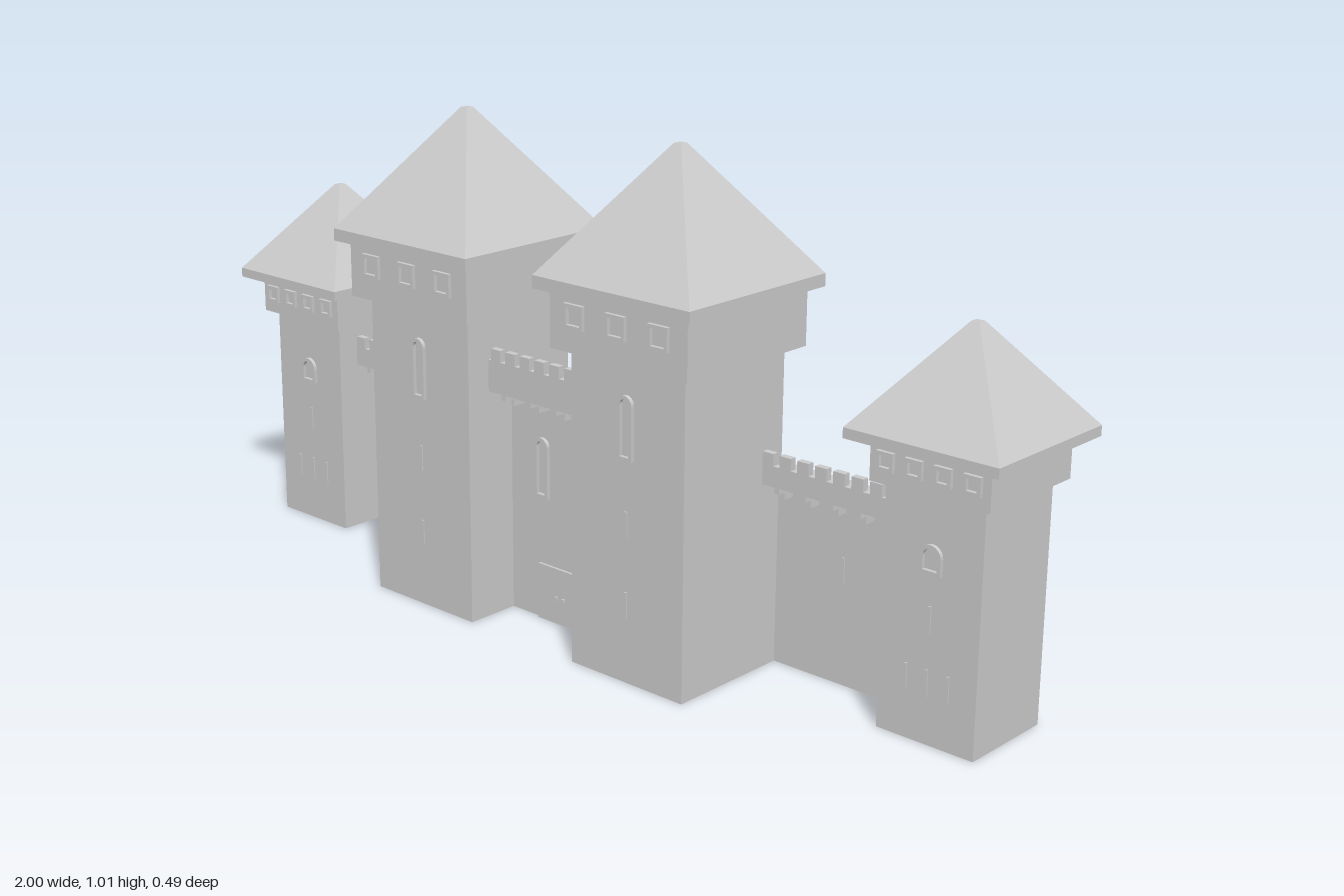
import * as THREE from 'three';

const mat = new THREE.MeshStandardMaterial({ color: 0xcccccc, flatShading: true, side: THREE.DoubleSide });

function add(parent, name, geometry, x = 0, y = 0, z = 0) {
  const mesh = new THREE.Mesh(geometry, mat);
  mesh.name = name;
  mesh.position.set(x, y, z);
  parent.add(mesh);
  return mesh;
}

const box = (parent, name, w, h, d, x, y, z) => add(parent, name, new THREE.BoxGeometry(w, h, d), x, y, z);

// Three-sided tower wall, open at the back, lofted through [halfWidth, y] levels
function towerShell(levels) {
  const pos = [], idx = [];
  for (const [h, y] of levels) pos.push(-h, y, -h, -h, y, h, h, y, h, h, y, -h);
  for (let l = 0; l < levels.length - 1; l++) {
    for (let i = 0; i < 3; i++) {
      const a = l * 4 + i, b = a + 1, c = b + 4, d = a + 4;
      idx.push(a, b, c, a, c, d);
    }
  }
  const g = new THREE.BufferGeometry();
  g.setAttribute('position', new THREE.Float32BufferAttribute(pos, 3));
  g.setIndex(idx);
  const flat = g.toNonIndexed();
  flat.computeVertexNormals();
  return flat;
}

// Hollow square roof: eave underside, eave edge, slope and small flat tip
function roofGeometry(headHalf, half, y0, y1, top) {
  const r = Math.SQRT2;
  const profile = [[headHalf * r, y0], [half * r, y0], [half * r, y1], [0.012, top], [0, top]];
  const g = new THREE.LatheGeometry(profile.map(p => new THREE.Vector2(...p)), 4);
  return g.rotateY(Math.PI / 4);
}

// Outline of an opening, with a round arch if wanted
function outline(target, w, h, arched) {
  target.moveTo(-w / 2, 0);
  target.lineTo(w / 2, 0);
  if (arched) {
    target.lineTo(w / 2, h - w / 2);
    target.absarc(0, h - w / 2, w / 2, 0, Math.PI, false);
  } else {
    target.lineTo(w / 2, h);
    target.lineTo(-w / 2, h);
  }
  target.closePath();
  return target;
}

// Raised window frame standing on y
function windowFrame(parent, w, h, x, y, z, arched) {
  const shape = outline(new THREE.Shape(), w, h, arched);
  const t = 0.007;
  const inner = outline(new THREE.Path(), w - 2 * t, h - 2 * t, arched);
  const hole = new THREE.Path(inner.getPoints(6).map(p => new THREE.Vector2(p.x, p.y + t)));
  shape.holes.push(hole);
  const g = new THREE.ExtrudeGeometry(shape, { depth: 0.009, bevelEnabled: false, curveSegments: 6 });
  add(parent, 'windowFrame', g, x, y, z);
}

const slit = (parent, x, y, z) => box(parent, 'arrowSlit', 0.006, 0.052, 0.006, x, y, z);

function tower(name, s) {
  const g = new THREE.Group();
  g.name = name;
  add(g, 'walls', towerShell([[s.half, 0], [s.half, s.neck], [s.head, s.neck], [s.head, s.eave]]));
  add(g, 'roof', roofGeometry(s.head, s.roof, s.eave, s.eave + s.rim, s.top));
  // row of square windows under the eaves
  for (let i = 0; i < s.windows; i++) {
    const x = (i - (s.windows - 1) / 2) * s.pitch;
    windowFrame(g, s.pane, s.pane, x, s.paneY, s.head - 0.001, false);
  }
  windowFrame(g, s.archW, s.archH, 0, s.archY, s.half - 0.001, true);
  for (const [x, y] of s.slits) slit(g, x, y, s.half);
  return g;
}

// Wall with walkway, corbels and a notched parapet
function rampart(name, s) {
  const g = new THREE.Group();
  g.name = name;
  const mid = (s.x0 + s.x1) / 2, len = s.x1 - s.x0;
  box(g, 'wall', len, s.deck, s.front - s.back, mid, s.deck / 2, (s.front + s.back) / 2);
  const a = s.x0 - s.ends[0], b = s.x1 + s.ends[1];
  box(g, 'walkway', b - a, 0.016, s.outer - s.inner, (a + b) / 2, s.deck + 0.008, (s.outer + s.inner) / 2);

  // parapet outline with notches cut between merlons
  const n = Math.round((b - a) / 0.042), p = (b - a) / n;
  const low = s.top - 0.024;
  const shape = new THREE.Shape();
  shape.moveTo(a, s.deck);
  for (let i = 0; i < n; i++) {
    const x = a + i * p;
    shape.lineTo(x, low);
    shape.lineTo(x + p * 0.18, low);
    shape.lineTo(x + p * 0.18, s.top);
    shape.lineTo(x + p * 0.82, s.top);
    shape.lineTo(x + p * 0.82, low);
  }
  shape.lineTo(b, low);
  shape.lineTo(b, s.deck);
  const wall = new THREE.ExtrudeGeometry(shape, { depth: 0.014, bevelEnabled: false });
  add(g, 'parapet', wall, 0, 0, s.outer - 0.014);

  // stepped corbels carrying the overhang
  const reach = s.outer - s.front;
  for (let i = 0; i < s.corbels; i++) {
    const x = s.x0 + len * (i + 0.5) / s.corbels;
    box(g, 'corbel', 0.01, 0.014, reach * 0.9, x, s.deck - 0.007, s.front + reach * 0.45);
    box(g, 'corbelFoot', 0.006, 0.016, reach * 0.5, x, s.deck - 0.022, s.front + reach * 0.25);
  }
  return g;
}

export function createModel() {
  const model = new THREE.Group();
  model.name = 'castle';

  const gateTower = {
    half: 0.14, neck: 0.632, head: 0.168, eave: 0.746, roof: 0.191, rim: 0.025, top: 1.015,
    windows: 3, pitch: 0.103, pane: 0.047, paneY: 0.68,
    archW: 0.036, archH: 0.125, archY: 0.445, slits: [[0, 0.318], [0, 0.158]],
  };
  const endTower = {
    half: 0.104, neck: 0.472, head: 0.125, eave: 0.55, roof: 0.16, rim: 0.02, top: 0.76,
    windows: 4, pitch: 0.06, pane: 0.036, paneY: 0.498,
    archW: 0.045, archH: 0.055, archY: 0.325,
    slits: [[0, 0.238], [-0.045, 0.118], [0, 0.118], [0.045, 0.118]],
  };

  for (const side of [-1, 1]) {
    const word = side > 0 ? 'left' : 'right';
    const inner = tower(word + 'GateTower', gateTower);
    inner.position.set(side * 0.28, 0, 0.053);
    const outer = tower(word + 'EndTower', endTower);
    outer.position.set(side * 0.84, 0, -0.085);

    // curtain wall between the two towers
    const x = [side * 0.42, side * 0.735].sort((p, q) => p - q);
    const curtain = rampart(word + 'CurtainWall', {
      x0: x[0], x1: x[1], front: -0.08, back: -0.108, outer: -0.03, inner: -0.125,
      deck: 0.375, top: 0.44, corbels: 5, ends: side > 0 ? [0.05, 0.09] : [0.09, 0.05],
    });
    slit(curtain, side * 0.578, 0.23, -0.08);
    model.add(inner, outer, curtain);
  }

  // gate wall with door and two arched windows
  const gate = rampart('gateWall', {
    x0: -0.14, x1: 0.14, front: 0.075, back: 0.047, outer: 0.138, inner: 0.01,
    deck: 0.476, top: 0.565, corbels: 4, ends: [0.04, 0.04],
  });
  for (const x of [-0.052, 0.052]) windowFrame(gate, 0.036, 0.125, x, 0.26, 0.074, true);
  box(gate, 'door', 0.124, 0.118, 0.008, 0, 0.059, 0.077);
  for (const x of [-0.01, 0.01]) box(gate, 'doorHandle', 0.006, 0.008, 0.006, x, 0.055, 0.083);
  model.add(gate);

  return model;
}
